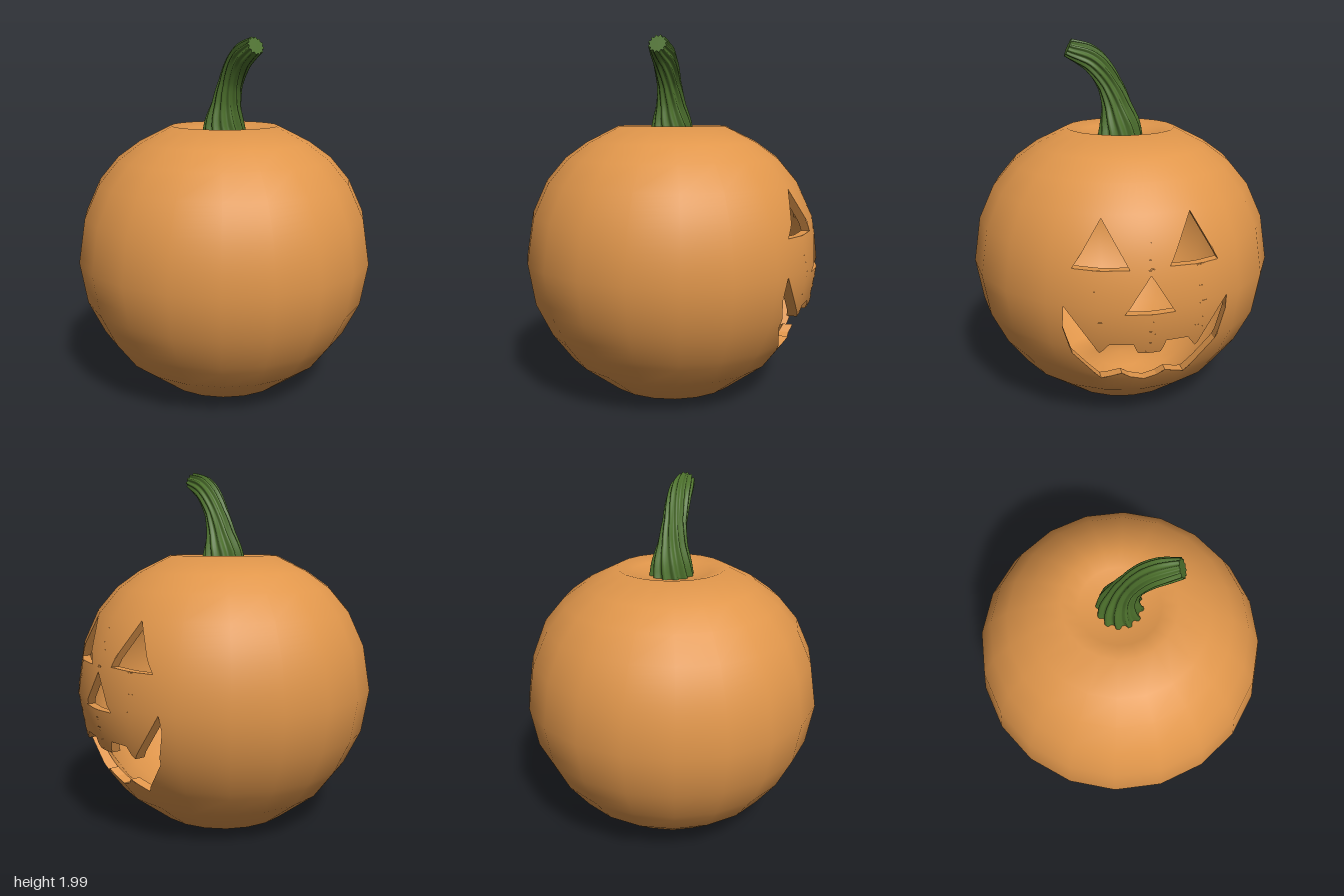
import * as THREE from 'three';

const SIDES = 20, STEP = (2 * Math.PI) / SIDES, FACE = 2 * STEP;
const orange = new THREE.MeshStandardMaterial({ color: 0xe0964b, side: THREE.DoubleSide });
orange.name = 'pumpkinOrange';
const green = new THREE.MeshStandardMaterial({ color: 0x4c702c });
green.name = 'stemGreen';

// Outer skin profile [radius, height], from the bottom hollow to the top hollow
const OUTER = [[0, 0.06], [0.13, 0.04], [0.25, 0], [0.38, 0.025], [0.6, 0.195], [0.715, 0.35],
  [0.805, 0.535], [0.845, 0.77], [0.805, 1.02], [0.72, 1.205], [0.61, 1.335], [0.485, 1.425],
  [0.305, 1.515], [0.22, 1.49], [0.12, 1.468], [0, 1.462]];
const BODY = [3, 12]; // part of the profile that rises steadily

// Carved openings as [z, y]
const CARVINGS = [
  [[0.37, 0.955], [0.1, 0.955], [0.222, 1.19]],
  [[-0.36, 0.958], [-0.097, 0.965], [-0.218, 1.205]],
  [[0.128, 0.737], [-0.122, 0.737], [0, 0.93]],
  [[0.415, 0.765], [0.245, 0.515], [0.2, 0.565], [0.08, 0.565], [0.055, 0.51], [-0.06, 0.51],
    [-0.085, 0.575], [-0.2, 0.575], [-0.245, 0.515], [-0.412, 0.765], [-0.415, 0.68], [-0.37, 0.505],
    [-0.215, 0.315], [-0.105, 0.36], [-0.065, 0.325], [0, 0.305], [0.075, 0.325], [0.12, 0.36],
    [0.22, 0.315], [0.37, 0.485], [0.418, 0.64]],
].map((loop) => loop.flatMap(([z, y], i) => {
  const [z2, y2] = loop[(i + 1) % loop.length];
  const n = Math.ceil(Math.hypot(z2 - z, y2 - y) / 0.05);
  return Array.from({ length: n }, (_, k) => [z + ((z2 - z) * k) / n, y + ((y2 - y) * k) / n]);
}));

const mix = (a, b, t) => a + (b - a) * t;

// Smoothed [radial, up] normals along a profile
function profileNormals(P) {
  return P.map((p, i) => {
    if (i === 0) return [0, -1];
    if (i === P.length - 1) return [0, 1];
    const n = [0, 0];
    for (const [a, b] of [[P[i - 1], p], [p, P[i + 1]]]) {
      const l = Math.hypot(b[0] - a[0], b[1] - a[1]);
      n[0] += (b[1] - a[1]) / l;
      n[1] -= (b[0] - a[0]) / l;
    }
    const l = Math.hypot(n[0], n[1]);
    return [n[0] / l, n[1] / l];
  });
}

function sample(list, v) {
  const i = Math.min(Math.floor(v), list.length - 2), t = v - i;
  return [mix(list[i][0], list[i + 1][0], t), mix(list[i][1], list[i + 1][1], t)];
}

// Radius factor of a regular polygon with a corner at angle 0
const polygon = (a) => Math.cos(STEP / 2) / Math.cos((((a % STEP) + STEP) % STEP) - STEP / 2);

// Carving point -> [angle, profile position]
function toSurface(P, [z, y]) {
  let i = BODY[0];
  while (i < BODY[1] - 1 && P[i + 1][1] < y) i++;
  const v = i + (y - P[i][1]) / (P[i + 1][1] - P[i][1]);
  const r = sample(P, v)[0];
  let a = 0;
  for (let k = 0; k < 6; k++) a = Math.asin(z / (r * polygon(a)));
  return [a, v];
}

function surfacePoint(P, a, v) {
  const [r, y] = sample(P, v), R = r * polygon(a);
  return [R * Math.cos(a), y, R * Math.sin(a)];
}

function makeGeometry(pos, nor) {
  const g = new THREE.BufferGeometry();
  g.setAttribute('position', new THREE.Float32BufferAttribute(pos, 3));
  if (nor) g.setAttribute('normal', new THREE.Float32BufferAttribute(nor, 3));
  else g.computeVertexNormals();
  return g;
}

// Round skin built in thin rings, leaving the carvings open
function skin(P, facing) {
  const N = profileNormals(P), pos = [], nor = [];
  const loops = CARVINGS.map((loop) => loop.map((p) => toSurface(P, p)));
  const levels = [...P.keys(), ...loops.flat().map((p) => p[1])].sort((a, b) => a - b)
    .filter((v, i, all) => i === 0 || v - all[i - 1] > 1e-5);
  const edges = loops.flatMap((loop) => loop.map((p, i) => [p, loop[(i + 1) % loop.length]]));

  const put = (a, v) => {
    const [nr, ny] = sample(N, v);
    const l = (Math.hypot(nr, ny) || 1) * facing;
    pos.push(...surfacePoint(P, a, v));
    nor.push((nr * Math.cos(a)) / l, ny / l, (nr * Math.sin(a)) / l);
  };
  const cell = (a0, a1, b0, b1, v0, v1) => {
    const A = [a0, v0], B = [a1, v0], C = [b1, v1], D = [b0, v1];
    const order = facing > 0 ? [A, D, B, B, D, C] : [A, B, D, B, C, D];
    order.forEach((p) => put(...p));
  };

  for (let k = 0; k + 1 < levels.length; k++) {
    const v0 = levels[k], v1 = levels[k + 1], vm = (v0 + v1) / 2;
    for (let s = 2; s < SIDES - 2; s++) cell(s * STEP, (s + 1) * STEP, s * STEP, (s + 1) * STEP, v0, v1);
    // Carved sector: fill between alternate pairs of carving edges
    const at = ([p, q], v) => mix(p[0], q[0], THREE.MathUtils.clamp((v - p[1]) / (q[1] - p[1]), 0, 1));
    const cuts = edges.filter(([p, q]) => (p[1] < vm) !== (q[1] < vm))
      .map((e) => [at(e, v0), at(e, v1), at(e, vm)]).sort((a, b) => a[2] - b[2]);
    const bounds = [[-FACE, -FACE, -FACE], ...cuts, [FACE, FACE, FACE]];
    for (let j = 0; j + 1 < bounds.length; j += 2) {
      const L = bounds[j], R = bounds[j + 1];
      const n = cuts.length ? Math.max(1, Math.ceil((R[2] - L[2]) / (STEP / 6))) : 24;
      for (let c = 0; c < n; c++) {
        cell(mix(L[0], R[0], c / n), mix(L[0], R[0], (c + 1) / n),
          mix(L[1], R[1], c / n), mix(L[1], R[1], (c + 1) / n), v0, v1);
      }
    }
  }
  return makeGeometry(pos, nor);
}

// Cut flesh joining the two skins around one opening
function rim(loop, outer, inner) {
  const pos = [];
  loop.forEach((p, i) => {
    const q = loop[(i + 1) % loop.length];
    const [A, B, C, D] = [[outer, p], [outer, q], [inner, q], [inner, p]]
      .map(([P, pt]) => surfacePoint(P, ...toSurface(P, pt)));
    pos.push(...A, ...B, ...D, ...B, ...C, ...D);
  });
  return makeGeometry(pos);
}

// Ridged, twisted stem swept along a curve leaning to the front
function stemGeometry() {
  const path = new THREE.CatmullRomCurve3([[0, 1.45], [0.003, 1.53], [0.04, 1.7], [0.1, 1.82], [0.17, 1.895], [0.287, 1.948]]
    .map(([z, y]) => new THREE.Vector3(0, y, z)));
  const radii = [[0, 0.125], [0.15, 0.108], [0.3, 0.082], [0.5, 0.066], [0.7, 0.067], [0.85, 0.064], [1, 0.05]];
  const radiusAt = (t) => {
    const i = Math.max(0, radii.findIndex((r) => r[0] >= t) - 1);
    return mix(radii[i][1], radii[i + 1][1], (t - radii[i][0]) / (radii[i + 1][0] - radii[i][0]));
  };
  const ridges = 12, around = ridges * 6, rows = 24, pos = [], idx = [];
  const side = new THREE.Vector3(1, 0, 0);
  for (let j = 0; j <= rows; j++) {
    const t = j / rows, c = path.getPointAt(t), front = side.clone().cross(path.getTangentAt(t));
    for (let i = 0; i < around; i++) {
      const f = (i / around) * 2 * Math.PI, a = f + 1.3 * t;
      const r = radiusAt(t) * (0.95 + 0.09 * THREE.MathUtils.clamp(1.6 * Math.cos(f * ridges), -1, 1));
      const p = c.clone().addScaledVector(side, r * Math.cos(a)).addScaledVector(front, r * Math.sin(a));
      pos.push(p.x, p.y, p.z);
      if (j < rows) {
        const n = (i + 1) % around, b = j * around, u = b + around;
        idx.push(b + i, u + i, b + n, b + n, u + i, u + n);
      }
    }
  }
  // Flat tip with its own corners
  const last = rows * around * 3, ring = pos.slice(last), first = pos.length / 3;
  pos.push(...ring, ...path.getPointAt(1).toArray());
  for (let i = 0; i < around; i++) idx.push(first + i, first + around, first + ((i + 1) % around));
  const g = new THREE.BufferGeometry();
  g.setAttribute('position', new THREE.Float32BufferAttribute(pos, 3));
  g.setIndex(idx);
  g.computeVertexNormals();
  return g;
}

export function createModel() {
  const model = new THREE.Group();
  model.name = 'carvedPumpkin';
  const add = (name, geometry, material) => {
    const mesh = new THREE.Mesh(geometry, material);
    mesh.name = name;
    model.add(mesh);
  };
  const normals = profileNormals(OUTER);
  const inner = OUTER.map(([r, y], i) => [Math.max(0, r - 0.045 * normals[i][0]), y - 0.045 * normals[i][1]]);
  add('outerSkin', skin(OUTER, 1), orange);
  add('innerSkin', skin(inner, -1), orange);
  ['leftEyeRim', 'rightEyeRim', 'noseRim', 'mouthRim'].forEach((name, i) => add(name, rim(CARVINGS[i], OUTER, inner), orange));
  add('stem', stemGeometry(), green);
  return model;
}
